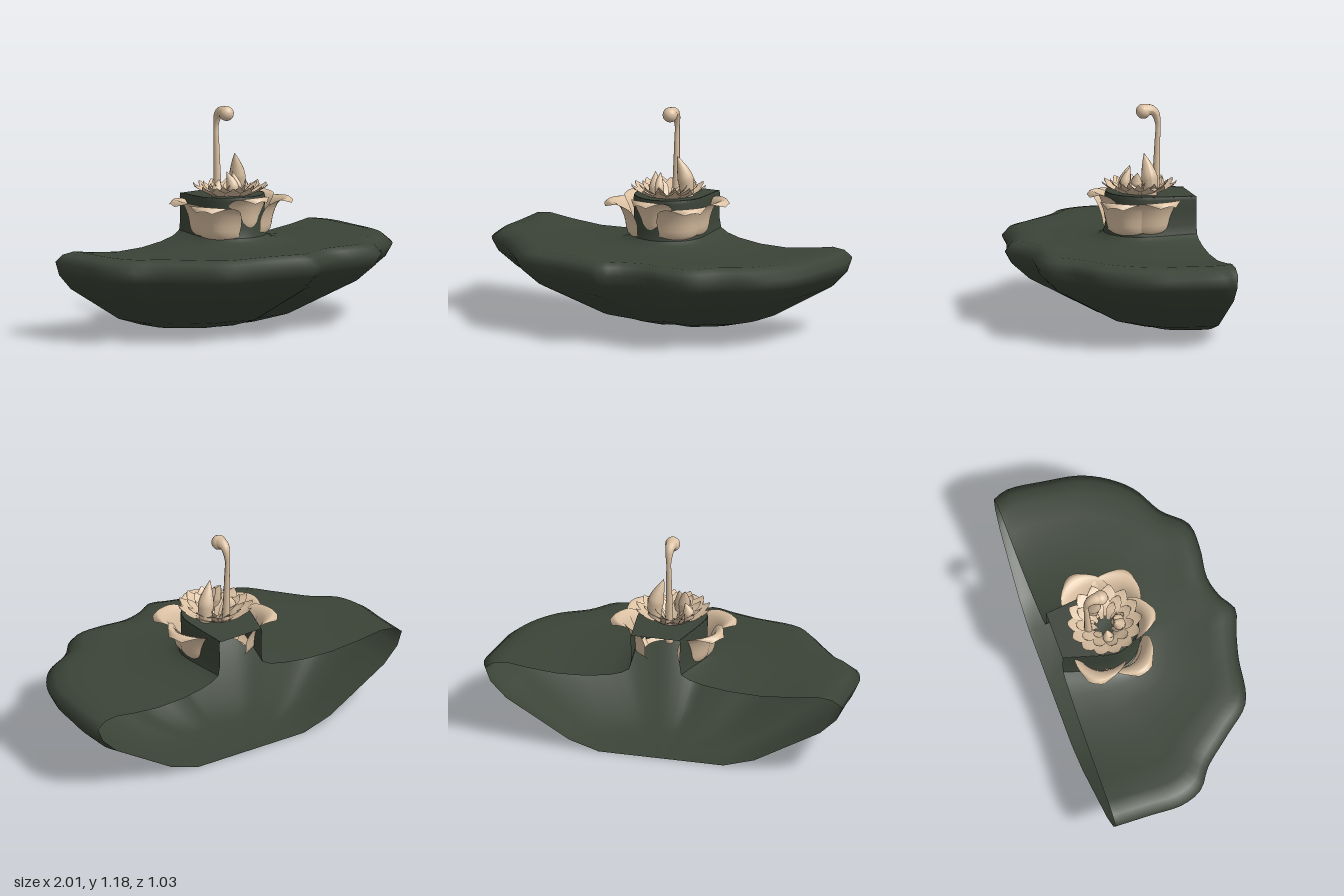
import * as THREE from 'three';

const green = new THREE.MeshStandardMaterial({ color: 0x3b4337, side: THREE.DoubleSide });
const tan = new THREE.MeshStandardMaterial({ color: 0xdac0a2, side: THREE.DoubleSide });
const CX = 0.01, CZ = -0.21; // flower axis
const { lerp } = THREE.MathUtils;

// Skin a list of equally long rows of points
function loft(rows) {
  const n = rows[0].length, index = [];
  for (let i = 0; i < rows.length - 1; i++) {
    for (let j = 0; j < n - 1; j++) {
      const a = i * n + j, b = a + n;
      index.push(a, b, a + 1, b, b + 1, a + 1);
    }
  }
  const geo = new THREE.BufferGeometry().setFromPoints(rows.flat());
  geo.setIndex(index);
  geo.computeVertexNormals();
  return geo;
}

function add(group, name, geo, mat) {
  const mesh = new THREE.Mesh(geo, mat);
  mesh.name = name;
  group.add(mesh);
  return mesh;
}

// Plan outline of the shelf, from back +x round the front to back -x
const rim = new THREE.CatmullRomCurve3([
  [0.97, -0.5], [1, -0.42], [0.98, -0.2], [0.95, -0.02], [0.88, 0.12], [0.78, 0.23], [0.62, 0.32],
  [0.5, 0.44], [0.35, 0.45], [0.18, 0.43], [0.06, 0.46], [-0.04, 0.515], [-0.15, 0.48], [-0.3, 0.44],
  [-0.56, 0.39], [-0.7, 0.24], [-0.84, 0.08], [-0.95, 0], [-1, -0.12], [-1, -0.3], [-1, -0.5],
].map(([x, z]) => new THREE.Vector3(x, 0, z)), false, 'centripetal').getSpacedPoints(72);

// Plan of the neck: a U that is open at the back
const uPoints = [new THREE.Vector3(0.17, 0, -0.485)];
for (let i = 0; i <= 12; i++) {
  const a = Math.PI * i / 12;
  uPoints.push(new THREE.Vector3(CX + 0.185 * Math.cos(a), 0, CZ + 0.18 * Math.sin(a)));
}
uPoints.push(new THREE.Vector3(-0.1, 0, -0.485));
const neckPlan = new THREE.CatmullRomCurve3(uPoints, false, 'centripetal').getSpacedPoints(72);

// Offset the neck plan outward on its front and sides only
const neckRow = (grow, y) => neckPlan.map((p) => new THREE.Vector3(
  CX + (p.x - CX) * (1 + grow), y(p.z), p.z > CZ ? CZ + (p.z - CZ) * (1 + grow) : p.z));

function shelf() {
  const rows = [];
  const base = neckRow(0.06, () => 0.49);
  // top skin: [blend from neck to rim, height]
  for (const [s, y] of [[0, 0.49], [0.05, 0.468], [0.14, 0.452], [0.3, 0.44], [0.5, 0.437],
    [0.7, 0.445], [0.85, 0.452], [0.94, 0.435], [1, 0.395]]) {
    rows.push(base.map((p, j) => {
      const q = rim[j], t = j / 72;
      const bulge = Math.sin(Math.PI * s);
      const end = Math.abs(2 * t - 1) ** 4; // 1 at the two back corners
      const h = y - 0.025 * bulge * end + 0.015 * s * end + 0.012 * bulge * (1 - end) * Math.sin(t * Math.PI);
      return new THREE.Vector3(lerp(p.x, q.x, s), h, lerp(p.z, q.z, s));
    }));
  }
  // underside: [scale of the rim about the back centre, height]
  for (const [s, y] of [[0.97, 0.335], [0.88, 0.25], [0.7, 0.15], [0.52, 0.05], [0.35, 0], [0, 0]]) {
    rows.push(rim.map((q) => new THREE.Vector3(
      q.x * s, y, -0.5 + (q.z + 0.5) * s - 0.02 * (1 - y / 0.4))));
  }
  return loft(rows);
}

function neck() {
  const top = (z) => 0.71 + 0.045 * Math.min(0, z + 0.1);
  return loft([
    neckRow(0.06, () => 0.49), neckRow(0, () => 0.54), neckRow(0, () => 0.62),
    neckRow(0.02, (z) => top(z) - 0.02), neckRow(-0.01, top),
  ]);
}

// Roof of the neck, with an opening under the flower
function roof() {
  const shape = new THREE.Shape(neckPlan.map((p) => new THREE.Vector2(p.x, -p.z)));
  const hole = new THREE.Path();
  hole.absarc(CX, -CZ, 0.11, 0, Math.PI * 2, true);
  shape.holes.push(hole);
  const geo = new THREE.ShapeGeometry(shape, 20).rotateX(-Math.PI / 2);
  const pos = geo.attributes.position;
  for (let i = 0; i < pos.count; i++) pos.setY(i, 0.707 + 0.045 * Math.min(0, pos.getZ(i) + 0.1));
  geo.computeVertexNormals();
  return geo;
}

// Petal from stations [radius, height, half width, cup], facing +z
function petal(stations, segs = 10) {
  const curve = (k) => new THREE.CatmullRomCurve3(stations.map((s) => new THREE.Vector3(s[k], s[k + 1], 0)));
  const path = curve(0), size = curve(2), rows = [];
  for (let i = 0; i <= segs; i++) {
    const p = path.getPoint(i / segs), w = size.getPoint(i / segs), row = [];
    for (let j = 0; j <= segs; j++) {
      const u = 2 * j / segs - 1;
      row.push(new THREE.Vector3(w.x * u, p.y - 0.012 * u * u * (i / segs), p.x - w.y * u * u));
    }
    rows.push(row);
  }
  return loft(rows);
}

function placePetal(group, name, geo, degrees, y = 0, scale = 1) {
  const mesh = add(group, name, geo, tan);
  mesh.position.set(CX, y, CZ);
  mesh.rotation.y = THREE.MathUtils.degToRad(90 - degrees);
  mesh.scale.set(scale, 1, scale);
}

// Curved pointed spike or stem with a radius rule
function taper(points, radius, segs = 28, sides = 14) {
  const path = new THREE.CatmullRomCurve3(points.map((p) => new THREE.Vector3(...p)));
  const geo = new THREE.TubeGeometry(path, segs, 1, sides);
  const pos = geo.attributes.position, v = new THREE.Vector3();
  for (let i = 0; i < pos.count; i++) {
    const t = Math.floor(i / (sides + 1)) / segs, c = path.getPointAt(t);
    v.fromBufferAttribute(pos, i).sub(c).multiplyScalar(radius(t)).add(c);
    pos.setXYZ(i, v.x, v.y, v.z);
  }
  geo.computeVertexNormals();
  return geo;
}

export function createModel() {
  const model = new THREE.Group();
  add(model, 'shelf', shelf(), green);
  add(model, 'neck', neck(), green);
  add(model, 'neckRoof', roof(), green);

  // Five large outer petals, none at the back
  const outer = new THREE.Group();
  outer.name = 'outerPetals';
  model.add(outer);
  const big = petal([[0.17, 0.485, 0.09, 0.04], [0.212, 0.52, 0.115, 0.065], [0.23, 0.6, 0.135, 0.08],
    [0.262, 0.67, 0.142, 0.075], [0.31, 0.695, 0.11, 0.05], [0.335, 0.675, 0.045, 0.01]], 14);
  [[-14, 0, 1], [38, -0.005, 1], [96, 0.02, 0.84], [158, -0.02, 1.03], [207, -0.01, 1]]
    .forEach(([a, y, s]) => placePetal(outer, 'outerPetal', big, a, y, s));

  // Crown of small petals in three rings
  const crown = new THREE.Group();
  crown.name = 'crown';
  model.add(crown);
  const small = petal([[0.07, 0.66, 0.018, 0], [0.11, 0.705, 0.03, 0.004], [0.15, 0.725, 0.043, 0.012],
    [0.185, 0.745, 0.036, 0.012], [0.2, 0.762, 0.012, 0.002]], 8);
  [[14, 1, 0], [11, 0.78, 0.004], [8, 0.55, 0.004]].forEach(([n, s, y], ring) => {
    for (let i = 0; i < n; i++) placePetal(crown, 'crownPetal', small, (i + ring / 2) * 360 / n, y, s);
  });

  // Pointed spikes: base, middle, tip, thickness
  const spikes = [
    [[0.1, 0.68, -0.25], [0.095, 0.79, -0.245], [0.055, 0.92, -0.225], 0.044],
    [[-0.03, 0.68, -0.13], [-0.035, 0.76, -0.145], [-0.05, 0.835, -0.175], 0.034],
    [[0.0, 0.68, -0.13], [-0.01, 0.76, -0.14], [-0.015, 0.835, -0.17], 0.028],
    [[-0.08, 0.68, -0.22], [-0.08, 0.73, -0.22], [-0.06, 0.79, -0.22], 0.03],
  ];
  for (const [a, b, c, r] of spikes) {
    add(model, 'spike', taper([a, b, c], (t) => r * (t < 0.45 ? 0.75 + 0.55 * t : Math.max(0, 1 - ((t - 0.45) / 0.55) ** 1.4)), 20), tan);
  }

  // Tall stem bending forward into a round bud
  const stem = taper([[0.005, 0.6, -0.3], [0.005, 0.75, -0.305], [0.005, 0.95, -0.312], [0.005, 1.08, -0.314],
    [0.005, 1.13, -0.295], [0.005, 1.143, -0.265], [0.005, 1.137, -0.235]],
  (t) => 0.024 - 0.011 * Math.min(1, t / 0.75) + 0.024 * Math.max(0, (t - 0.75) / 0.25) ** 1.3, 48);
  add(model, 'stem', stem, tan);
  const bud = add(model, 'bud', new THREE.SphereGeometry(0.04, 20, 14), tan);
  bud.position.set(0.005, 1.136, -0.235);
  const foot = add(model, 'stemFoot', new THREE.SphereGeometry(0.024, 14, 10), tan);
  foot.position.set(0.005, 0.6, -0.3);
  return model;
}
